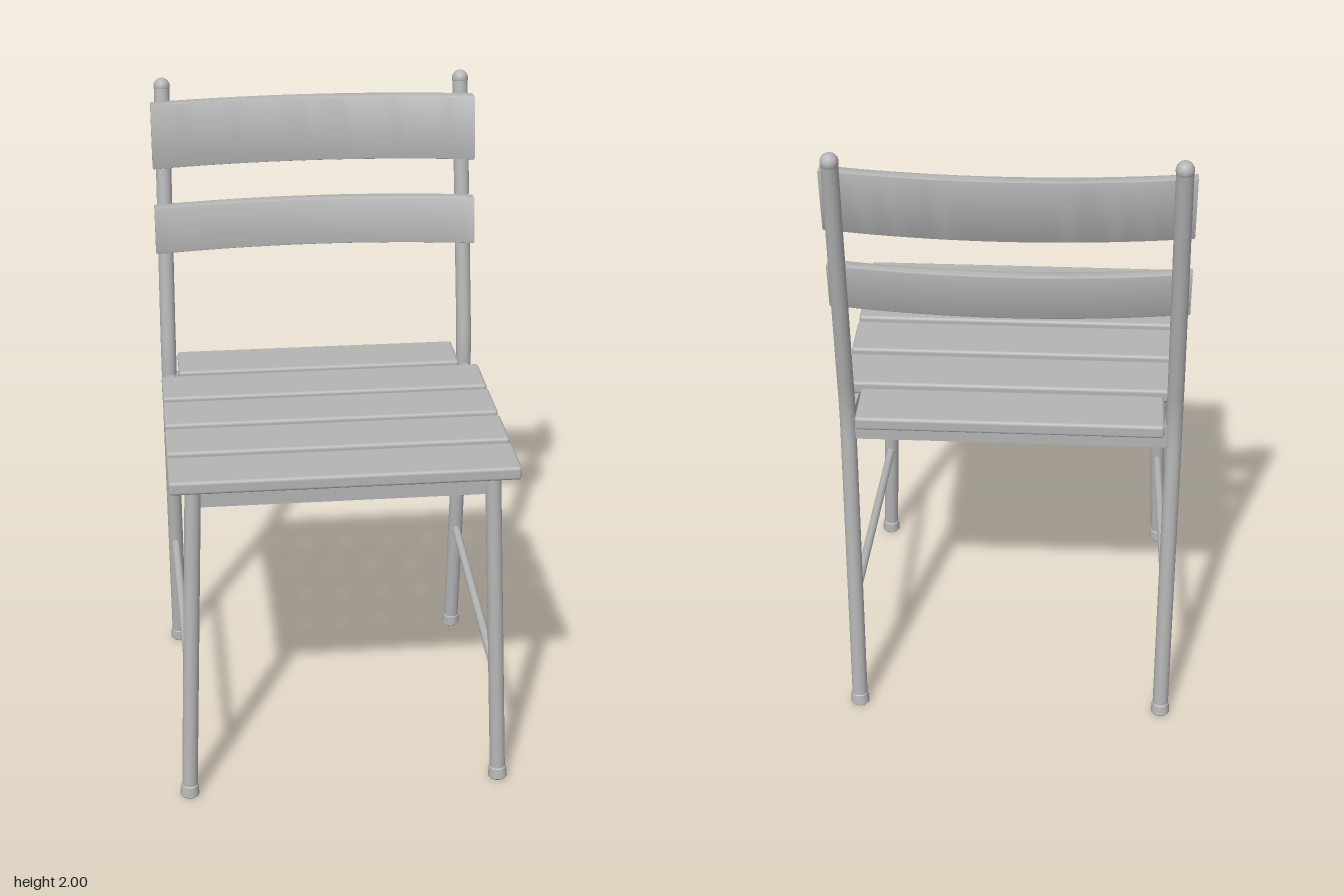
import * as THREE from 'three';
import { toCreasedNormals } from 'three/addons/utils/BufferGeometryUtils.js';
import { RoundedBoxGeometry } from 'three/addons/geometries/RoundedBoxGeometry.js';

const V = (x, y, z) => new THREE.Vector3(x, y, z);
const UP = V(0, 1, 0);

export function createModel() {
  const chair = new THREE.Group();
  chair.name = 'chair';
  const grey = new THREE.MeshStandardMaterial({ color: 0xb4b4b4 });
  grey.name = 'plain grey';

  const add = (name, geometry) => {
    const mesh = new THREE.Mesh(geometry, grey);
    mesh.name = name;
    chair.add(mesh);
    return mesh;
  };

  // Straight round bar from a to b
  const rod = (name, a, b, rA, rB = rA) => {
    const dir = b.clone().sub(a);
    const mesh = add(name, new THREE.CylinderGeometry(rB, rA, dir.length(), 20));
    mesh.position.copy(a).add(b).multiplyScalar(0.5);
    mesh.quaternion.setFromUnitVectors(UP, dir.normalize());
  };

  // Flat upright rail from a to b
  const rail = (name, a, b) => {
    const mesh = add(name, new THREE.BoxGeometry(0.024, 0.075, a.distanceTo(b)));
    mesh.position.copy(a).add(b).multiplyScalar(0.5);
    mesh.lookAt(b);
  };

  // Flared end cap around the bottom of a leg
  const foot = (name, bottom, top) => {
    const profile = [[0, 0], [0.027, 0], [0.03, 0.004], [0.027, 0.036], [0.023, 0.04]];
    const lathe = new THREE.LatheGeometry(profile.map(p => new THREE.Vector2(...p)), 20);
    const mesh = add(name, toCreasedNormals(lathe, 0.6));
    mesh.position.copy(bottom);
    mesh.quaternion.setFromUnitVectors(UP, top.clone().sub(bottom).normalize());
  };

  // Back slat bowed towards the rear and leaning with the posts
  const backSlat = (name, y0, y1, zFront) => {
    const w = 0.51, sag = 0.045, thick = 0.028, bevel = 0.005;
    const near = -zFront + bevel, far = near + thick;
    const outline = new THREE.Shape();
    outline.moveTo(-w, near);
    outline.quadraticCurveTo(0, near + 2 * sag, w, near);
    outline.lineTo(w, far);
    outline.quadraticCurveTo(0, far + 2 * sag, -w, far);
    const h = y1 - y0;
    const geometry = new THREE.ExtrudeGeometry(outline, {
      depth: h - 2 * bevel, curveSegments: 24,
      bevelThickness: bevel, bevelSize: bevel, bevelSegments: 2,
    });
    geometry.rotateX(-Math.PI / 2);
    geometry.translate(0, bevel - h / 2, 0);
    geometry.applyMatrix4(new THREE.Matrix4().makeShear(0, 0, 0, -0.17, 0, 0));
    // Lean: z moves back as y rises
    const p = geometry.attributes.position;
    const leaning = Math.abs(new THREE.Vector3(0, 1, 0).applyMatrix4(
      new THREE.Matrix4().makeShear(0, 0, 0, -0.17, 0, 0)).z) > 0.1;
    if (!leaning) for (let i = 0; i < p.count; i++) p.setZ(i, p.getZ(i) - 0.17 * p.getY(i));
    add(name, toCreasedNormals(geometry, 0.6)).position.y = (y0 + y1) / 2;
  };

  // Seat slats, the rear one shorter to fit between the posts
  for (let i = 0; i < 5; i++) {
    const width = i === 4 ? 0.915 : 1.03;
    const slat = add('seatSlat', new RoundedBoxGeometry(width, 0.042, 0.174, 3, 0.01));
    slat.position.set(0, 1.076, 0.448 - i * 0.198);
  }

  for (const s of [1, -1]) {
    const side = s > 0 ? 'left' : 'right';

    // Front leg
    const frontFoot = V(s * 0.485, 0.002, 0.513), frontTop = V(s * 0.443, 1.055, 0.457);
    rod(side + 'FrontLeg', frontFoot, frontTop, 0.024);
    foot(side + 'FrontFoot', frontFoot, frontTop);

    // Rear leg, bent at the seat and rising to form the back post
    const rearFoot = V(s * 0.485, 0.002, -0.43), postTop = V(s * 0.476, 1.972, -0.514);
    const below = V(s * 0.488, 0.98, -0.355), bend = V(s * 0.488, 1.09, -0.347), above = V(s * 0.487, 1.2, -0.371);
    const path = new THREE.CurvePath();
    path.add(new THREE.LineCurve3(rearFoot, below));
    path.add(new THREE.QuadraticBezierCurve3(below, bend, above));
    path.add(new THREE.LineCurve3(above, postTop));
    add(side + 'RearLeg', new THREE.TubeGeometry(path, 80, 0.0245, 20));
    foot(side + 'RearFoot', rearFoot, below);
    add(side + 'PostCap', new THREE.SphereGeometry(0.026, 20, 14)).position.copy(postTop);

    // Side rail and stretcher
    rail(side + 'SideRail', V(s * 0.448, 1.018, 0.455), V(s * 0.487, 1.018, -0.35));
    rod(side + 'Stretcher', V(s * 0.47, 0.366, 0.49), V(s * 0.487, 0.406, -0.4), 0.0135);
  }

  // Cross rails under the seat
  rail('frontRail', V(-0.443, 1.018, 0.455), V(0.443, 1.018, 0.455));
  rail('rearRail', V(-0.487, 1.018, -0.352), V(0.487, 1.018, -0.352));

  // Back slats
  backSlat('upperBackSlat', 1.73, 1.93, -0.429);
  backSlat('lowerBackSlat', 1.462, 1.61, -0.379);

  return chair;
}
